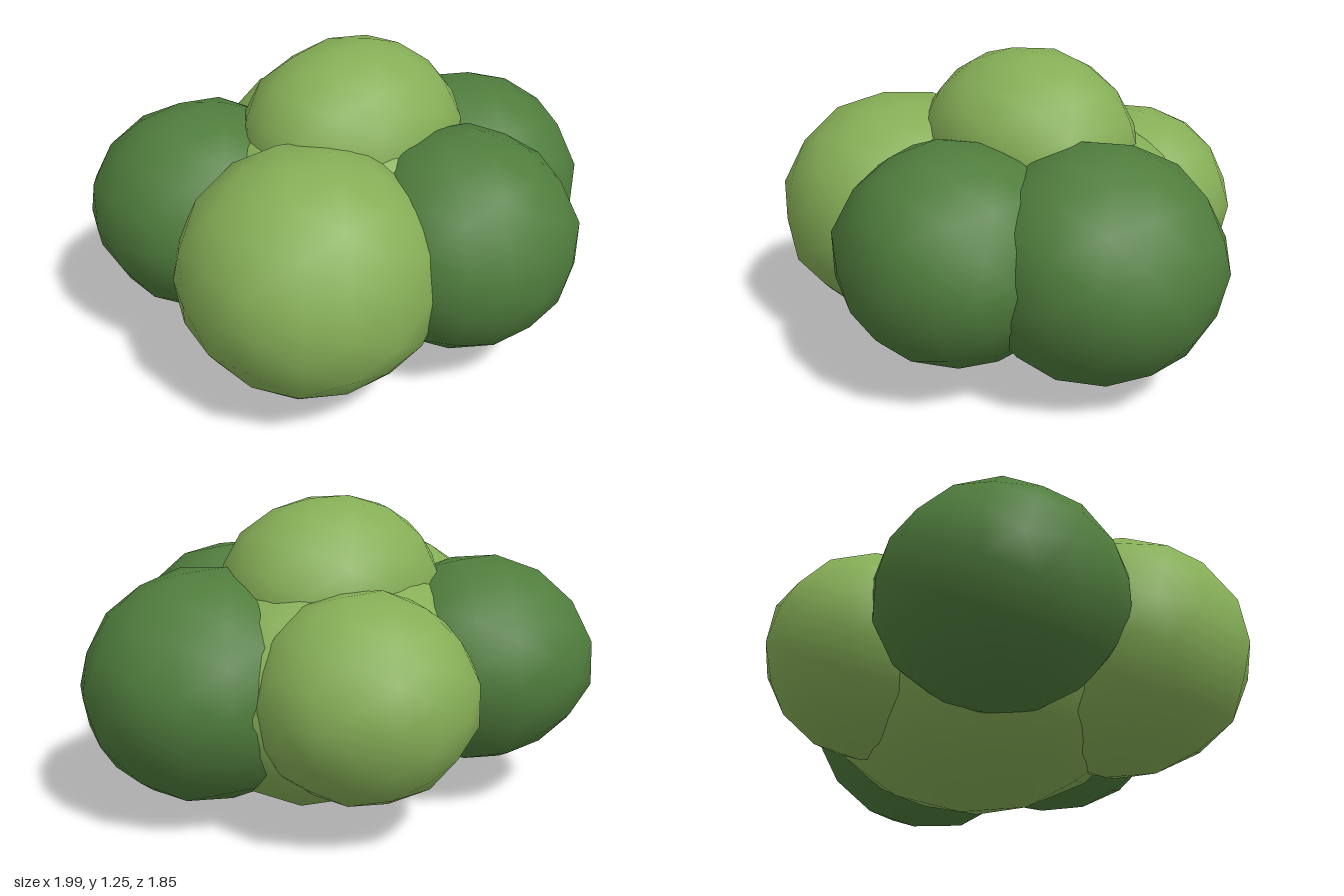
import * as THREE from 'three';
import { mergeVertices } from 'three/addons/utils/BufferGeometryUtils.js';

const lightLeaf = new THREE.MeshStandardMaterial({ name: 'lightLeaf', color: 0x86af57 });
const darkLeaf = new THREE.MeshStandardMaterial({ name: 'darkLeaf', color: 0x507d3d });

// Small seeded generator for the uneven leaf surface
function seeded(seed) {
  let s = seed * 7919 + 17;
  return () => (s = (s * 16807) % 2147483647) / 2147483647;
}

// Uneven low-poly ball with smooth normals; a power above 2 makes its plan boxier
function clumpGeometry(radii, power, seed) {
  let geo = new THREE.IcosahedronGeometry(1, 2);
  geo.deleteAttribute('uv');
  geo.deleteAttribute('normal');
  geo = mergeVertices(geo, 1e-3);
  const random = seeded(seed);
  const pos = geo.attributes.position;
  const v = new THREE.Vector3();
  for (let i = 0; i < pos.count; i++) {
    v.fromBufferAttribute(pos, i);
    const plan = Math.pow(Math.abs(v.x) ** power + Math.abs(v.z) ** power, 1 / power);
    v.multiplyScalar((1.015 - 0.035 * random()) / Math.hypot(plan, v.y));
    pos.setXYZ(i, v.x * radii[0], v.y * radii[1], v.z * radii[2]);
  }
  geo.computeVertexNormals();
  return geo;
}

export function createModel() {
  const bush = new THREE.Group();
  bush.name = 'bush';

  // Name, material, centre, radii, boxiness
  const clumps = [
    ['coreClump', lightLeaf, [-0.02, 0.53, -0.05], [0.73, 0.53, 0.64], 2.1],
    ['topClump', lightLeaf, [-0.02, 0.88, -0.045], [0.47, 0.385, 0.41], 2.1],
    ['frontRightClump', lightLeaf, [-0.49, 0.56, 0.26], [0.51, 0.48, 0.51], 2.1],
    ['frontClump', darkLeaf, [0.1, 0.57, 0.465], [0.46, 0.445, 0.465], 2.3],
    ['leftClump', darkLeaf, [0.5, 0.54, 0.075], [0.5, 0.47, 0.51], 1.95],
    ['backClump', lightLeaf, [0.14, 0.56, -0.48], [0.45, 0.41, 0.45], 1.95],
    ['backRightClump', darkLeaf, [-0.52, 0.59, -0.395], [0.46, 0.425, 0.46], 2.3],
  ];
  clumps.forEach(([name, material, centre, radii, power], i) => {
    const mesh = new THREE.Mesh(clumpGeometry(radii, power, i + 1), material);
    mesh.name = name;
    mesh.position.set(...centre);
    bush.add(mesh);
  });
  return bush;
}
